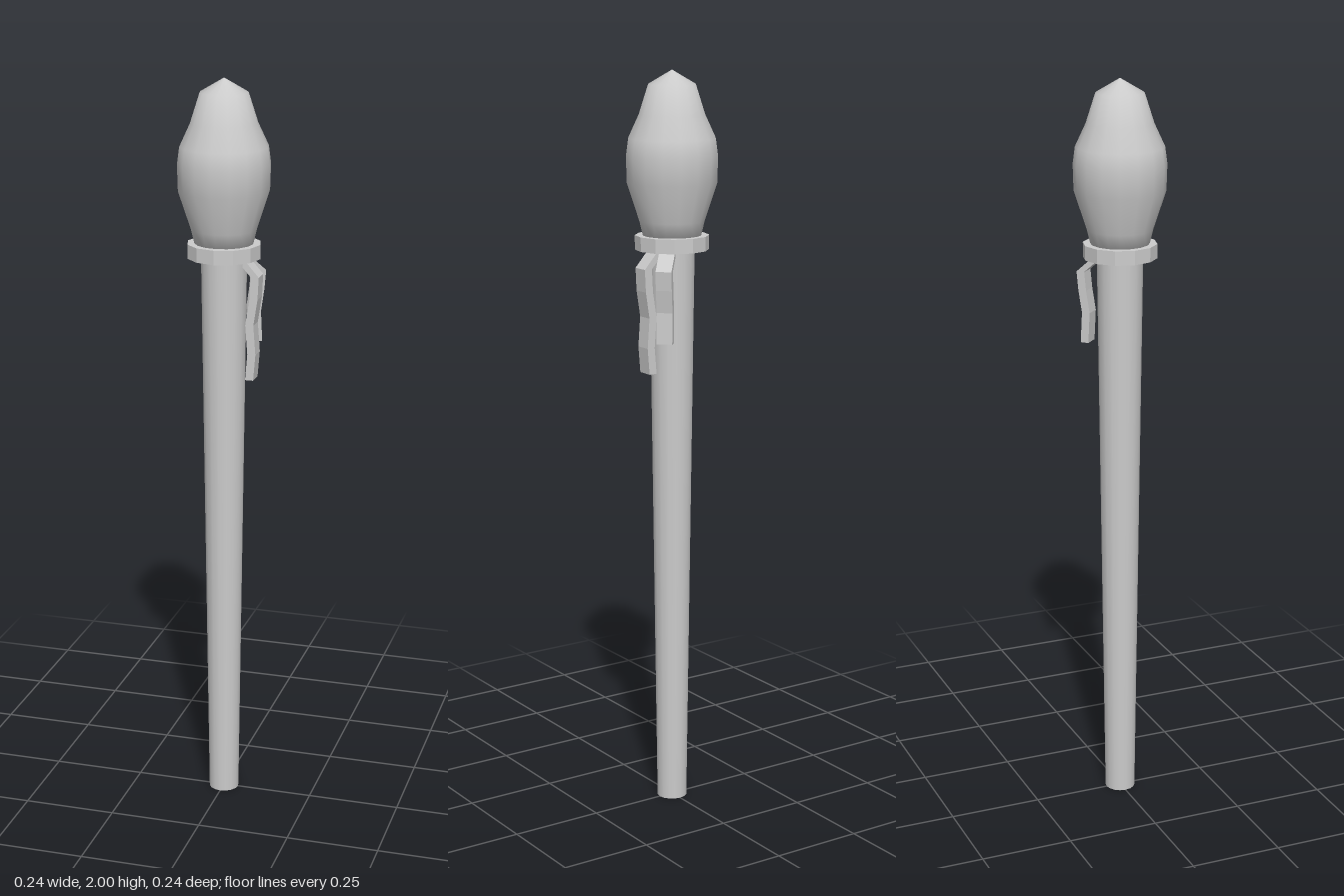
import * as THREE from 'three';

const grey = new THREE.MeshStandardMaterial({ color: 0xcccccc });
const flatGrey = new THREE.MeshStandardMaterial({ color: 0xcccccc, flatShading: true });

function add(group, name, geometry, material = grey) {
  const mesh = new THREE.Mesh(geometry, material);
  mesh.name = name;
  group.add(mesh);
  return mesh;
}

// Bent metal strip: a radial/height path with thickness, extruded to a width
function strip(path, thickness, width) {
  const inner = path.map(([r, y]) => [r - thickness, y]).reverse();
  const shape = new THREE.Shape([...path, ...inner].map(([r, y]) => new THREE.Vector2(r, y)));
  return new THREE.ExtrudeGeometry(shape, { depth: width, bevelEnabled: false })
    .translate(0, 0, -width / 2);
}

export function createModel() {
  const group = new THREE.Group();

  // Bulbous head with a stepped, pointed nose
  const profile = [
    [0, 1.56], [0.075, 1.56], [0.087, 1.61], [0.12, 1.71], [0.122, 1.78],
    [0.116, 1.825], [0.088, 1.885], [0.063, 1.963], [0, 2],
  ].map(([r, y]) => new THREE.Vector2(r, y));
  add(group, 'head', new THREE.LatheGeometry(profile, 16));

  // Tapered handle
  add(group, 'handle', new THREE.CylinderGeometry(0.061, 0.041, 1.56, 16).translate(0, 0.78, 0));

  // Collar between head and handle
  add(group, 'collar', new THREE.CylinderGeometry(0.098, 0.098, 0.038, 12).translate(0, 1.553, 0), flatGrey);

  // Long lever on the left side
  const longPath = [[0.06, 1.535], [0.1, 1.49], [0.097, 1.43], [0.086, 1.36], [0.092, 1.28], [0.086, 1.21]];
  add(group, 'longLever', strip(longPath, 0.022, 0.045), flatGrey);

  // Shorter lever at the back left
  const shortPath = [[0.065, 1.535], [0.115, 1.49], [0.11, 1.44], [0.1, 1.38], [0.104, 1.298]];
  add(group, 'shortLever', strip(shortPath, 0.022, 0.042), flatGrey).rotation.y = Math.PI / 4;

  return group;
}
